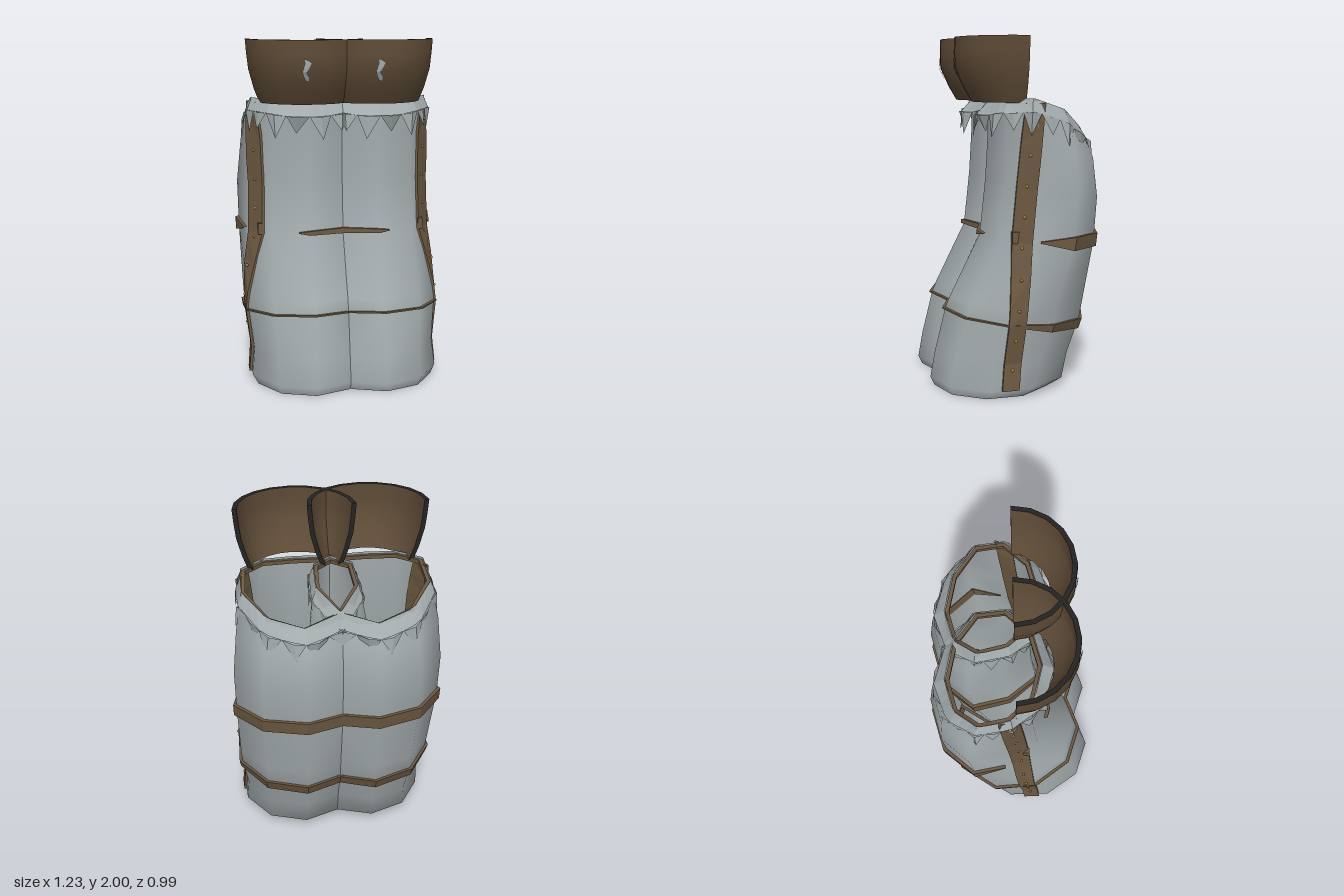
import * as THREE from 'three';

const mat = (name, color) => {
  const m = new THREE.MeshStandardMaterial({ color, side: THREE.DoubleSide });
  m.name = name;
  return m;
};
const M = {
  cloth: mat('grey cloth', 0xa3abad),
  strap: mat('brown strap', 0x6b5841),
  guard: mat('brown leather', 0x5f4c37),
  edge: mat('dark edge', 0x242322),
  sole: mat('black sole', 0x141414),
  stud: mat('gold stud', 0xb5893c),
};

// Leg cross-sections: front y, back y, front z, back z, half width, skew to the back
const ROWS = [
  [0, 0, 0.475, -0.21, 0.335, 0],
  [0.05, 0.05, 0.497, -0.31, 0.366, 0],
  [0.2, 0.2, 0.47, -0.345, 0.352, 0.02],
  [0.46, 0.4, 0.405, -0.41, 0.385, 0.05],
  [0.52, 0.5, 0.38, -0.425, 0.387, 0.08],
  [0.88, 0.85, 0.2, -0.475, 0.385, 0.22],
  [1.2, 1.1, 0.165, -0.49, 0.384, 0.27],
  [1.45, 1.3, 0.15, -0.465, 0.365, 0.2],
  [1.64, 1.45, 0.15, -0.385, 0.338, 0.06],
];
const CX = 0.205, SIDES = 10, STEP = Math.PI * 2 / SIDES, DEG = Math.PI / 180;
const lerp = THREE.MathUtils.lerp;

// Point on a unit ten-sided ring; angle 0 is the front, 90 degrees the outer side
function unit(t) {
  const k = Math.floor(t / STEP + 1e-6), f = t / STEP - k;
  const a = k * STEP, b = a + STEP;
  return [lerp(Math.sin(a), Math.sin(b), f), lerp(Math.cos(a), Math.cos(b), f)];
}

function rowPoint(i, t, off = 0) {
  const [yF, yB, zF, zB, r, skew] = ROWS[i], [s, c] = unit(t);
  const bump = i === ROWS.length - 1 ? 0.1 : i === ROWS.length - 2 ? 0.04 : 0;
  return [
    CX + s * (r * (1 + -skew * c * s * s) + off),
    lerp(yB, yF, (1 + c) / 2) + bump * s * s,
    (zF + zB) / 2 + c * ((zF - zB) / 2 + off),
  ];
}

// Point on the leg at angle t and height y
function legPoint(t, y, off = 0) {
  let i = 0;
  while (i < ROWS.length - 2 && rowPoint(i + 1, t)[1] < y) i++;
  const a = rowPoint(i, t, off), b = rowPoint(i + 1, t, off);
  const f = (y - a[1]) / (b[1] - a[1]);
  return [lerp(a[0], b[0], f), y, lerp(a[2], b[2], f)];
}

// Point on the outer side of the leg at a given height and depth
function sidePoint(y, z, off) {
  let lo = 20 * DEG, hi = 160 * DEG;
  for (let i = 0; i < 25; i++) {
    const mid = (lo + hi) / 2;
    if (legPoint(mid, y)[2] > z) lo = mid; else hi = mid;
  }
  const p = legPoint(lo, y);
  return [p[0] + off, y, z];
}

// Joins rows of points into a surface; closed wraps each row round
function loft(rows, closed, flat) {
  const n = rows[0].length, idx = [];
  for (let i = 0; i < rows.length - 1; i++) {
    for (let j = 0; j < (closed ? n : n - 1); j++) {
      const a = i * n + j, b = i * n + (j + 1) % n;
      idx.push(a, b, b + n, a, b + n, a + n);
    }
  }
  let g = new THREE.BufferGeometry();
  g.setAttribute('position', new THREE.Float32BufferAttribute(rows.flat(2), 3));
  g.setIndex(idx);
  if (flat) g = g.toNonIndexed();
  g.computeVertexNormals();
  return g;
}

const range = (n, f) => Array.from({ length: n }, (_, i) => f(i));

// Band round the leg between two angles, with a solid four-corner section
function band(t0, t1, centre, half, inner, outer) {
  const ts = [t0];
  for (let k = Math.floor(t0 / STEP + 1e-6) + 1; k * STEP < t1 - 1e-6; k++) ts.push(k * STEP);
  ts.push(t1);
  return loft(ts.map((t) => {
    const y = centre(t), h = half(t);
    return [legPoint(t, y - h, inner), legPoint(t, y + h, inner),
      legPoint(t, y + h, outer), legPoint(t, y - h, outer)];
  }), true, true);
}

// Knee guard: height, half width, depth
const GUARD = [[1.64, 0.268, 0.237], [1.72, 0.298, 0.285], [1.83, 0.327, 0.336], [1.92, 0.337, 0.338], [2, 0.343, 0.334]];
const guardPoint = (i, a, off) => [
  CX + Math.sin(a) * (GUARD[i][1] - off), GUARD[i][0], Math.cos(a) * Math.max(GUARD[i][2] - off, 0)];

function buildLeg(side) {
  const leg = new THREE.Group();
  leg.name = side > 0 ? 'leftLeg' : 'rightLeg';
  const add = (name, geo, material) => {
    if (side < 0) {
      // Mirror the part and turn its faces back outward
      geo.scale(-1, 1, 1);
      if (!geo.index) geo.setIndex(range(geo.attributes.position.count, (i) => i));
      const ix = geo.index;
      for (let i = 0; i < ix.count; i += 3) {
        const t = ix.getX(i);
        ix.setX(i, ix.getX(i + 2));
        ix.setX(i + 2, t);
      }
      geo.computeVertexNormals();
    }
    const mesh = new THREE.Mesh(geo, material);
    mesh.name = name;
    leg.add(mesh);
  };
  const ring = (i, off = 0) => range(SIDES, (k) => rowPoint(i, k * STEP, off));

  add('legTube', loft(ROWS.map((_, i) => ring(i)), true, false), M.cloth);
  add('sole', loft([ring(0), range(SIDES, () => [CX, 0, 0.13])], true, true), M.sole);

  // Folded jagged cuff hanging from the rim
  const teeth = 18, top = ROWS.length - 1;
  const fold = (t, out, drop) => {
    const [s, c] = unit(t), p = rowPoint(top, t, out * (0.4 + 0.6 * c * c));
    return [p[0], p[1] - drop, p[2]];
  };
  const cuffAngles = range(teeth * 2, (i) => i * Math.PI / teeth);
  add('cuffFold', loft([
    cuffAngles.map((t) => fold(t, 0, 0)),
    cuffAngles.map((t) => fold(t, 0.065, 0.07)),
  ], true, true), M.cloth);
  const tips = [];
  for (let k = 0; k < teeth; k++) {
    const t = k * 2 * Math.PI / teeth, w = Math.PI / teeth;
    const tip = fold(t + w * (k % 2 ? 0.85 : 1.15), k % 3 ? 0.095 : 0.05, k % 2 ? 0.2 : 0.165);
    tips.push(fold(t, 0.065, 0.07), tip, fold(t + w, 0.085, 0.07));
    tips.push(fold(t + w, 0.085, 0.07), tip, fold(t + 2 * w, 0.065, 0.07));
  }
  const tipGeo = new THREE.BufferGeometry();
  tipGeo.setAttribute('position', new THREE.Float32BufferAttribute(tips.flat(), 3));
  tipGeo.computeVertexNormals();
  add('cuffTeeth', tipGeo, M.cloth);

  // Brown trim just inside the rim
  const trim = (off, drop) => ring(top, off).map(([x, y, z]) => [x, y - drop, z]);
  add('rimTrim', loft([trim(-0.004, 0.012), trim(-0.026, 0.012), trim(-0.026, 0.035)], true, true), M.strap);

  // Straps round the leg, thin at the front and broad at the back
  const back = (t) => (1 - unit(t)[1]) / 2;
  add('lowerStrap', band(0, Math.PI * 2, (t) => lerp(0.457, 0.365, back(t)),
    (t) => lerp(0.004, 0.03, THREE.MathUtils.smoothstep(back(t), 0.4, 0.8)), -0.005, 0.018), M.strap);
  const t0 = 77 * DEG, t1 = 370 * DEG;
  add('upperStrap', band(t0, t1, (t) => lerp(0.893, 0.86, back(t)),
    (t) => Math.min(0.004 + (t - t0) * 0.09, lerp(0.012, 0.038, Math.min(back(t) * 1.6, 1)), 0.002 + (t1 - t) * 0.06),
    -0.005, 0.02), M.strap);

  // Side strap with studs and a buckle
  const strapZ = (y) => lerp(0.11, -0.042, (y - 0.05) / 1.59);
  const ys = [0.05, 0.2, 0.42, 0.52, 0.7, 0.87, 1.03, 1.17, 1.3, 1.42, 1.54, 1.64];
  const section = (y, h, outer) => [
    sidePoint(y, strapZ(y) - h, -0.006), sidePoint(y, strapZ(y) + h, -0.006),
    sidePoint(y, strapZ(y) + h, outer), sidePoint(y, strapZ(y) - h, outer)];
  const strapRows = ys.map((y) => section(y, 0.049, 0.016));
  strapRows.unshift(section(0.05, 0.001, 0));
  strapRows.push(section(1.64, 0.001, 0));
  add('sideStrap', loft(strapRows, true, true), M.strap);
  for (let k = 0; k < 9; k++) {
    const y = 0.165 + k * 0.17;
    const stud = new THREE.SphereGeometry(0.009, 8, 6);
    stud.translate(...sidePoint(y, strapZ(y), 0.016));
    add('stud', stud, M.stud);
  }
  const buckle = new THREE.BoxGeometry(0.03, 0.065, 0.045);
  buckle.translate(...sidePoint(0.9, 0.06, 0.012));
  add('buckle', buckle, M.strap);

  // Knee guard: outer and inner shells joined by dark edges
  const angles = range(11, (k) => (k - 5) * 18 * DEG);
  const shell = (off) => GUARD.map((_, i) => angles.map((a) => guardPoint(i, a, off)));
  const outer = shell(0), inner = shell(0.026);
  add('guardOuter', loft(outer, false, false), M.guard);
  add('guardInner', loft(inner.map((r) => [...r].reverse()), false, false), M.guard);
  add('guardTopEdge', loft([outer.at(-1), inner.at(-1)], false, true), M.edge);
  add('guardBottomEdge', loft([inner[0], outer[0]], false, true), M.edge);
  for (const e of [0, 10]) {
    add('guardEndEdge', loft([outer.map((r) => r[e]), inner.map((r) => r[e])], false, true), M.edge);
  }

  // Small pale wavy inlay on the guard front
  const wave = [[-0.012, 1.895, 0.006], [0.006, 1.875, 0.018], [-0.004, 1.85, 0.016],
    [-0.014, 1.825, 0.012], [-0.004, 1.8, 0.014], [0.004, 1.775, 0.008]];
  const inlay = wave.map(([dx, y, h]) => [-h, h].map((w) => {
    const i = y < 1.83 ? 1 : 2, f = (y - GUARD[i][0]) / (GUARD[i + 1][0] - GUARD[i][0]);
    const rx = lerp(GUARD[i][1], GUARD[i + 1][1], f), rz = lerp(GUARD[i][2], GUARD[i + 1][2], f);
    const x = -0.027 + dx + w;
    return [CX + x * side, y, rz * Math.sqrt(1 - (x / rx) ** 2) + 0.005];
  }));
  add('guardInlay', loft(inlay, false, true), M.cloth);
  return leg;
}

export function createModel() {
  const model = new THREE.Group();
  model.name = 'legArmourPair';
  model.add(buildLeg(1), buildLeg(-1));
  return model;
}
